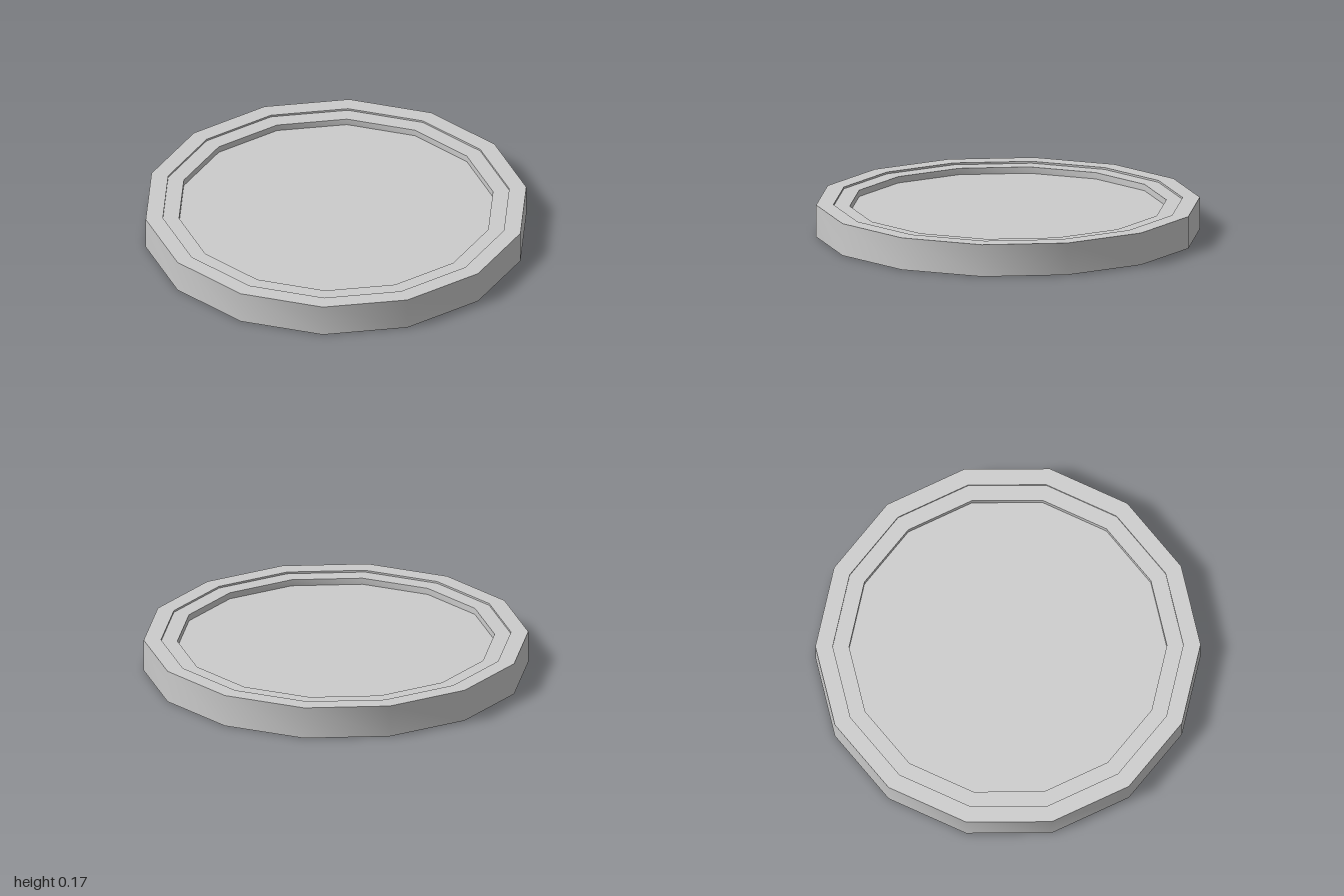
import * as THREE from 'three';
import { toCreasedNormals } from 'three/addons/utils/BufferGeometryUtils.js';

const SIDES = 14;

// Turned part: smooth around the axis, sharp along the profile
function turned(name, profile) {
  const points = profile.map(([r, y]) => new THREE.Vector2(r, y));
  const lathe = new THREE.LatheGeometry(points, SIDES, Math.PI / 2);
  const material = new THREE.MeshStandardMaterial({ color: 0xcccccc, side: THREE.DoubleSide });
  const mesh = new THREE.Mesh(toCreasedNormals(lathe, Math.PI / 4), material);
  mesh.name = name;
  return mesh;
}

export function createModel() {
  const group = new THREE.Group();
  group.name = 'roundLid';

  // Outer wall with the flat top rim, open underneath
  group.add(turned('outerRim', [[1, 0], [1, 0.17], [0.91, 0.17], [0.91, 0.16]]));

  // Inner skirt hanging down inside the rim
  group.add(turned('innerSkirt', [[0.91, 0], [0.91, 0.16]]));

  // Stepped ledge and recessed plate on the top
  group.add(turned('topPlate', [[0.91, 0.16], [0.825, 0.16], [0.825, 0.126], [0, 0.126]]));

  // Stepped ledge and recessed plate underneath
  group.add(turned('bottomPlate', [[0, 0.045], [0.825, 0.045], [0.825, 0.027], [0.91, 0.027]]));

  return group;
}
